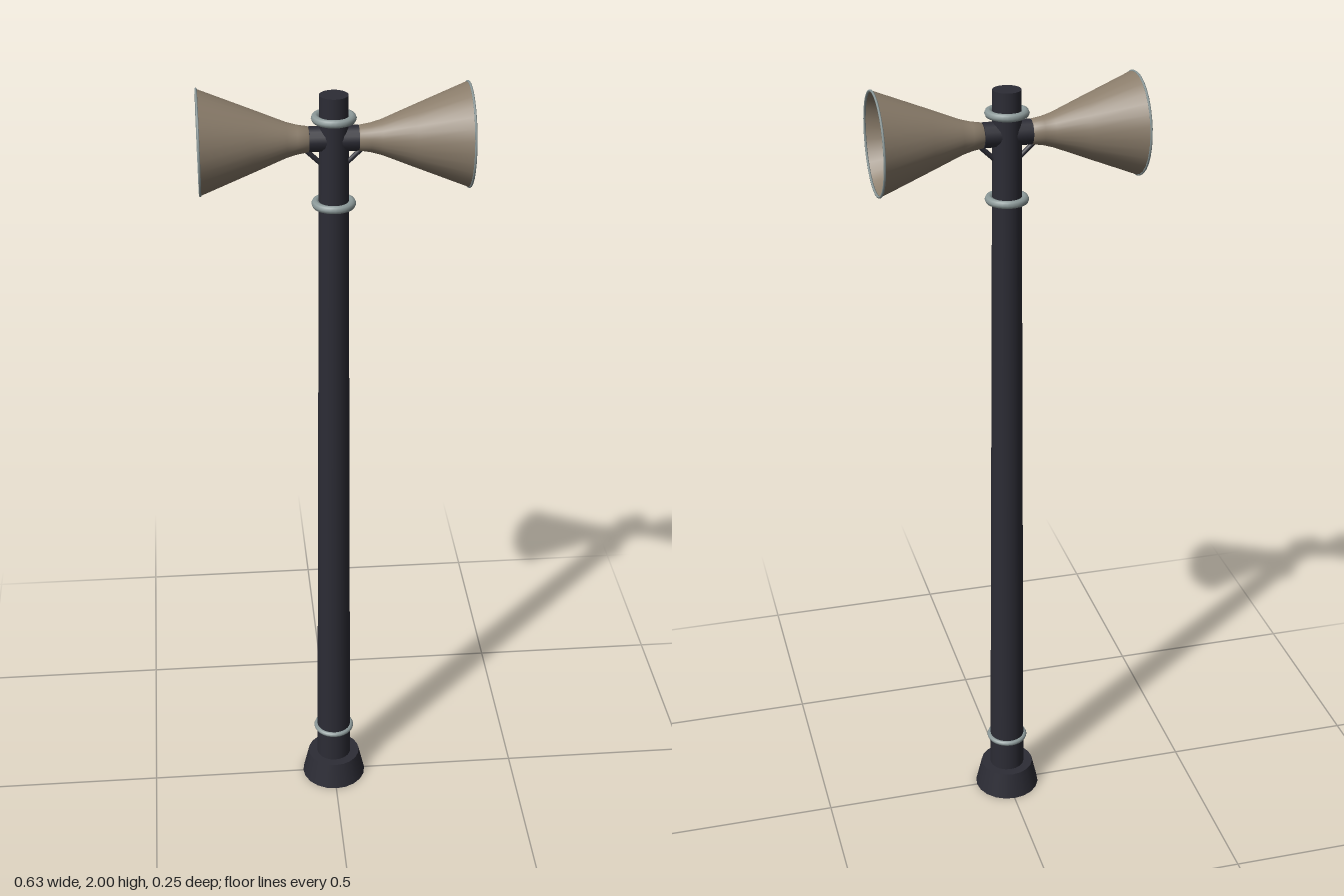
import * as THREE from 'three';

const mat = (name, color, side = THREE.FrontSide) => {
  const m = new THREE.MeshStandardMaterial({ color, side });
  m.name = name;
  return m;
};

export function createModel() {
  const dark = mat('darkIron', 0x2c2c35);
  const grey = mat('greyMetal', 0x8d9a9a);
  const tan = mat('hornTan', 0x8b7d6b, THREE.DoubleSide);
  const model = new THREE.Group();
  model.name = 'hornPole';

  const add = (parent, name, geo, material, x = 0, y = 0, z = 0) => {
    const mesh = new THREE.Mesh(geo, material);
    mesh.name = name;
    mesh.position.set(x, y, z);
    parent.add(mesh);
    return mesh;
  };

  // Flared foot and tapered pole
  add(model, 'foot', new THREE.CylinderGeometry(0.07, 0.086, 0.07, 20), dark, 0, 0.035);
  add(model, 'pole', new THREE.CylinderGeometry(0.034, 0.046, 1.925, 20), dark, 0, 1.0225);

  // Bands around the pole
  for (const [y, r, tube] of [[0.16, 0.047, 0.007], [1.72, 0.043, 0.01], [1.93, 0.043, 0.01]]) {
    add(model, 'band', new THREE.TorusGeometry(r, tube, 8, 28).rotateX(Math.PI / 2), grey, 0, y);
  }

  // Two identical horns, one turned half round; each points along +x
  const profile = [[0.02, 0.055], [0.03, 0.06], [0.034, 0.085], [0.041, 0.11], [0.072, 0.187], [0.122, 0.313]]
    .map(([r, x]) => new THREE.Vector2(r, x));
  for (const turn of [0, Math.PI]) {
    const horn = new THREE.Group();
    horn.name = turn ? 'rightHorn' : 'leftHorn';
    horn.position.y = 1.88;
    horn.rotation.y = turn;
    model.add(horn);

    add(horn, 'bell', new THREE.LatheGeometry(profile, 28).rotateZ(-Math.PI / 2), tan);
    add(horn, 'rim', new THREE.TorusGeometry(0.121, 0.003, 6, 32).rotateY(Math.PI / 2), grey, 0.313);
    add(horn, 'coupler', new THREE.CylinderGeometry(0.03, 0.03, 0.04, 14).rotateZ(-Math.PI / 2), dark, 0.038);
    add(horn, 'throatPlug', new THREE.CylinderGeometry(0.021, 0.021, 0.045, 8).rotateZ(-Math.PI / 2), dark, 0.055);

    // Slanted brace from the pole to the throat
    const path = new THREE.LineCurve3(new THREE.Vector3(0.025, -0.065, 0), new THREE.Vector3(0.065, -0.027, 0));
    add(horn, 'brace', new THREE.TubeGeometry(path, 1, 0.006, 8), dark);
  }
  return model;
}
